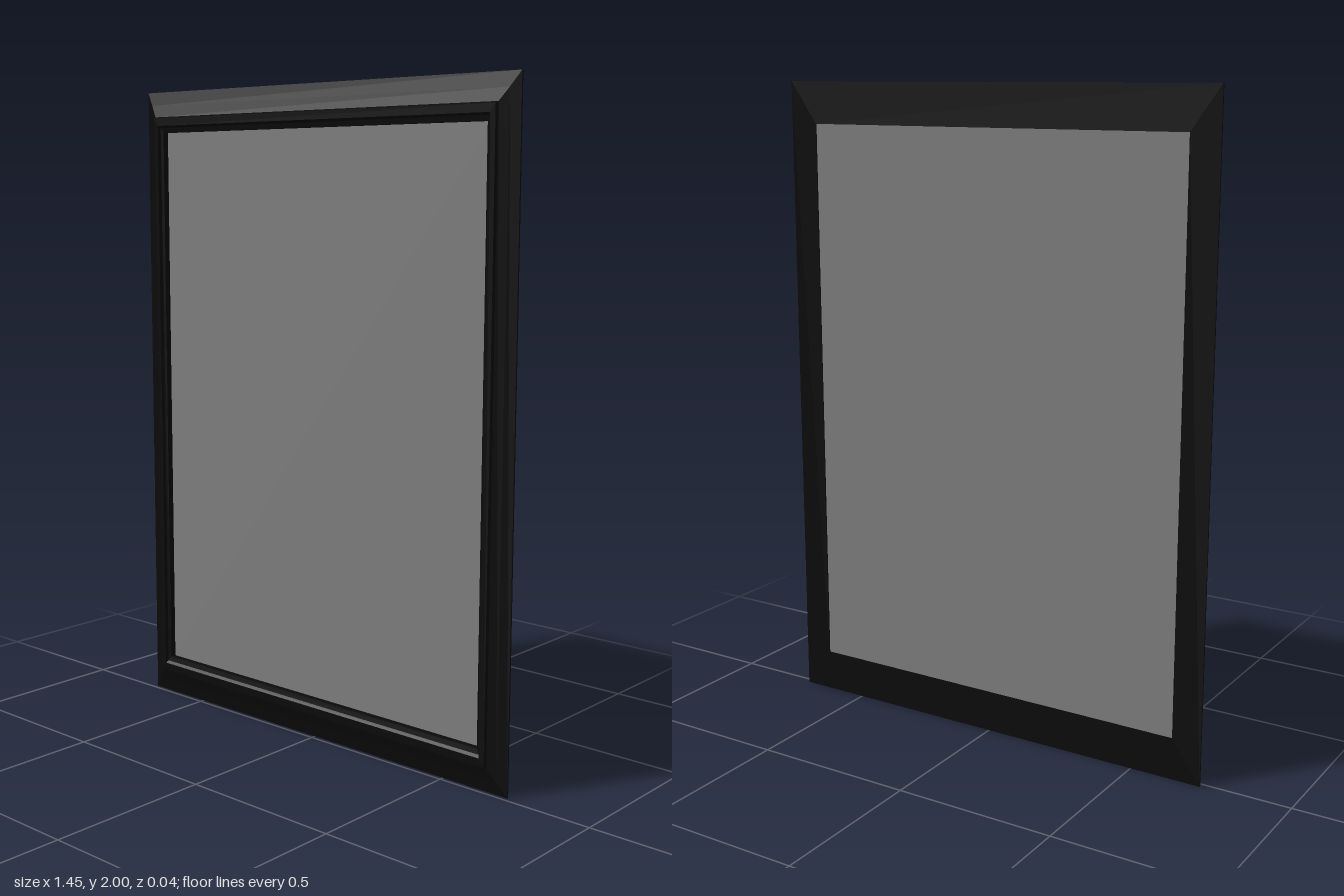
import * as THREE from 'three';

// Moulding profile as [half width, half height, z], running round the cross-section
const PROFILE = [
  [0.725, 1.0, -0.019],
  [0.725, 1.0, -0.014],
  [0.695, 0.958, -0.003],
  [0.668, 0.921, 0.009],
  [0.665, 0.917, 0.018],
  [0.648, 0.893, 0.018],
  [0.643, 0.886, 0.010],
  [0.633, 0.871, 0.007],
  [0.633, 0.871, -0.019],
];
const CORNERS = [[1, 1], [-1, 1], [-1, -1], [1, -1]];

// Sweep the profile round the four mitred corners
function mitredFrame(profile) {
  const pos = [];
  const point = (p, c) => [p[0] * c[0], p[1] * c[1], p[2]];
  profile.forEach((p, i) => {
    const q = profile[(i + 1) % profile.length];
    CORNERS.forEach((c, k) => {
      const d = CORNERS[(k + 1) % 4];
      const a = point(p, c), b = point(p, d), e = point(q, d), f = point(q, c);
      pos.push(...a, ...b, ...e, ...a, ...e, ...f);
    });
  });
  const geo = new THREE.BufferGeometry();
  geo.setAttribute('position', new THREE.Float32BufferAttribute(pos, 3));
  geo.computeVertexNormals();
  return geo;
}

export function createModel() {
  const model = new THREE.Group();
  model.name = 'pictureFrame';

  // Black moulded surround
  const frame = new THREE.Mesh(
    mitredFrame(PROFILE),
    new THREE.MeshStandardMaterial({ color: 0x0b0b0b, flatShading: true })
  );
  frame.name = 'frame';
  frame.position.y = 1;

  // Recessed grey panel
  const panel = new THREE.Mesh(
    new THREE.BoxGeometry(1.268, 1.744, 0.004),
    new THREE.MeshStandardMaterial({ color: 0x808080 })
  );
  panel.name = 'panel';
  panel.position.set(0, 1, -0.014);

  model.add(frame, panel);
  return model;
}
